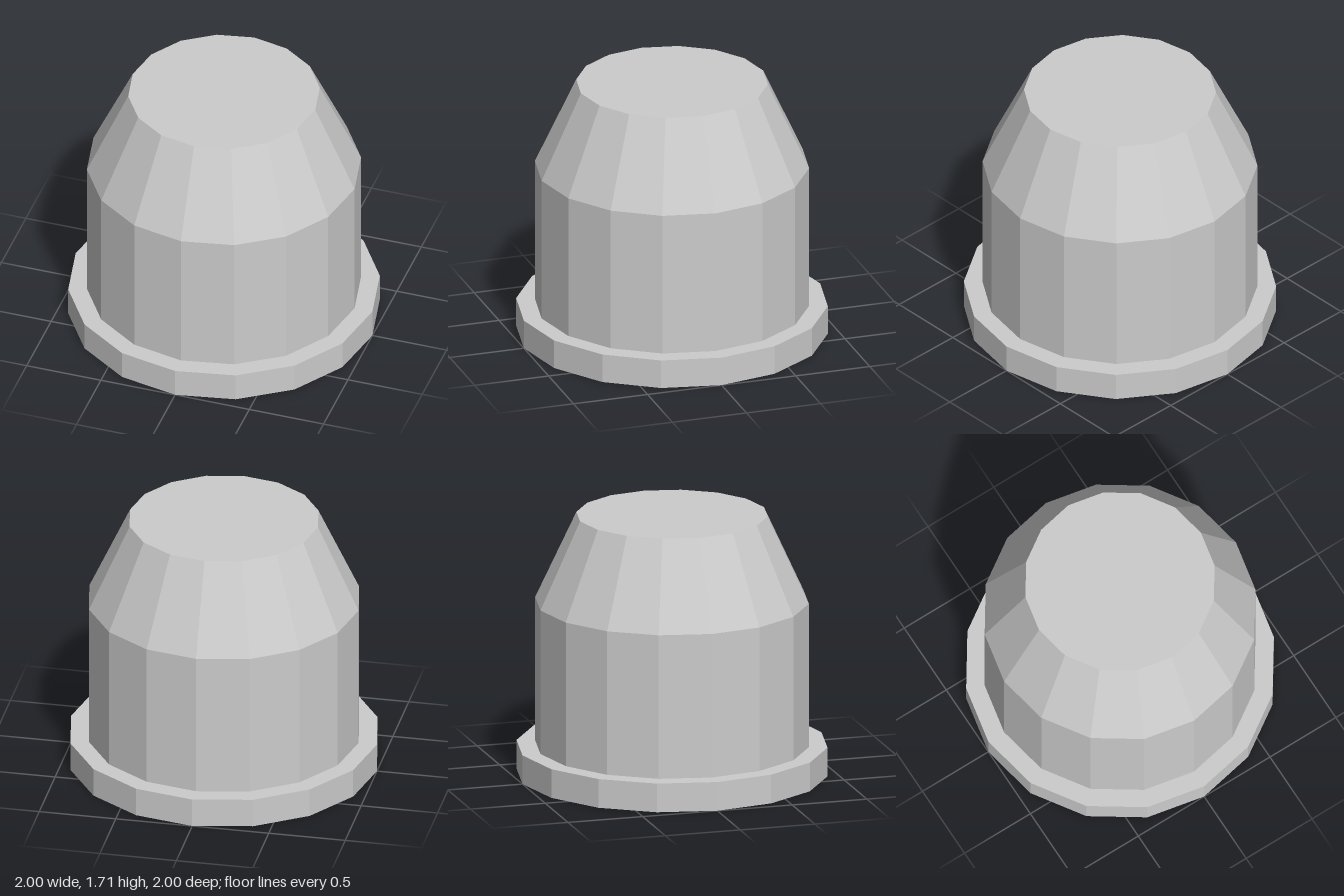
import * as THREE from 'three';

const SIDES = 16;

// Faceted solid of revolution from [radius, height] pairs, listed bottom to top
function turned(name, profile, material) {
  const points = profile.map(([r, y]) => new THREE.Vector2(r, y));
  const mesh = new THREE.Mesh(new THREE.LatheGeometry(points, SIDES), material);
  mesh.name = name;
  return mesh;
}

export function createModel() {
  const group = new THREE.Group();
  group.name = 'flangedCap';
  const material = new THREE.MeshStandardMaterial({ color: 0xcccccc, flatShading: true });

  // Wide base ring with closed underside and a narrow ledge on top
  group.add(turned('baseFlange', [[0, 0], [1, 0], [1, 0.19], [0.88, 0.19]], material));

  // Straight barrel
  group.add(turned('barrel', [[0.88, 0.19], [0.88, 1.14]], material));

  // Tapered shoulder with flat top
  group.add(turned('taperedTop', [[0.88, 1.14], [0.615, 1.71], [0, 1.71]], material));

  return group;
}
